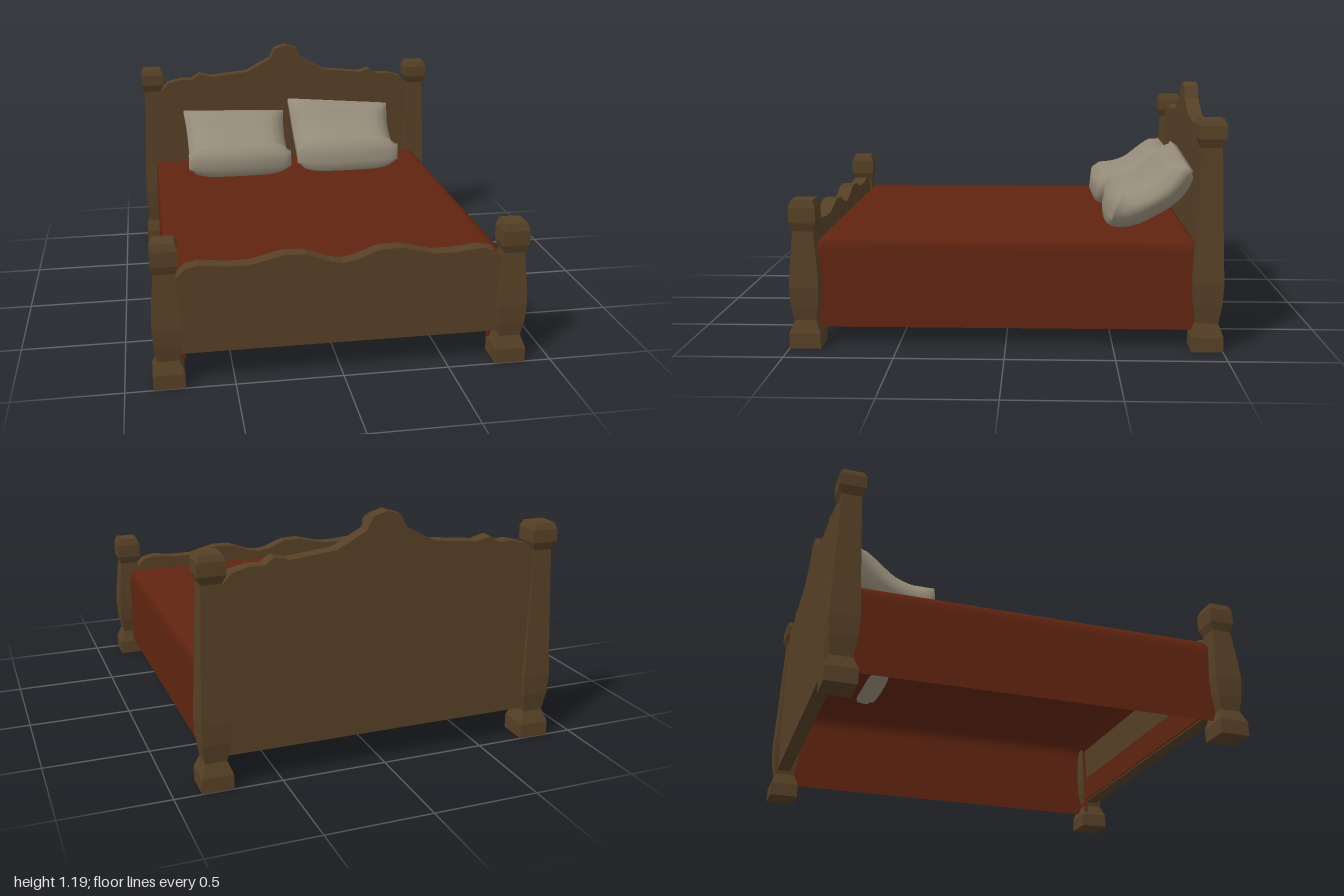
import * as THREE from 'three';
import { mergeVertices } from 'three/addons/utils/BufferGeometryUtils.js';

const wood = new THREE.MeshStandardMaterial({ color: 0x564026 });
wood.name = 'brown wood';
const cloth = new THREE.MeshStandardMaterial({ color: 0x602410, side: THREE.DoubleSide });
cloth.name = 'rust blanket';
const linen = new THREE.MeshStandardMaterial({ color: 0x958b79 });
linen.name = 'pillow linen';

function part(name, geometry, material) {
  const mesh = new THREE.Mesh(geometry, material);
  mesh.name = name;
  return mesh;
}

// Square turned post from [half width, height] pairs, with flat faces
function post(name, profile, x, z) {
  const pts = profile.map(([w, y]) => new THREE.Vector2(w * Math.SQRT2, y));
  const geo = new THREE.LatheGeometry(pts, 4, Math.PI / 4).toNonIndexed();
  geo.computeVertexNormals();
  const mesh = part(name, geo, wood);
  mesh.position.set(x, 0, z);
  return mesh;
}

// Board with a mirrored, carved top edge; half runs from the left end to the middle
function board(name, half, bottom, z, depth) {
  const right = half.filter(([x]) => x < 0).reverse().map(([x, y]) => [-x, y]);
  const top = [...half, ...right];
  const end = -half[0][0];
  const outline = [[end, bottom], [-end, bottom], ...top];
  const shape = new THREE.Shape(outline.map(([x, y]) => new THREE.Vector2(x, y)));
  const geo = new THREE.ExtrudeGeometry(shape, { depth, bevelEnabled: false });
  geo.translate(0, 0, z);
  return part(name, geo, wood);
}

// Open-bottomed blanket: a sheet bent over the sides and dipped at both ends
function blanket() {
  const across = [[-0.8, 0.085], [-0.8, 0.44], [-0.797, 0.48], [-0.785, 0.505], [-0.755, 0.515], [-0.7, 0.515]];
  const profile = [...across, ...across.map(([x, y]) => [-x, y]).reverse()];
  const rows = [[-0.89, 0.47], [-0.86, 0.51], [-0.84, 0.515], [0.83, 0.515], [0.855, 0.51], [0.885, 0.47]];
  const geo = new THREE.PlaneGeometry(1, 1, profile.length - 1, rows.length - 1);
  const pos = geo.attributes.position;
  for (let i = 0; i < pos.count; i++) {
    const [x, y] = profile[i % profile.length];
    const [z, limit] = rows[Math.floor(i / profile.length)];
    pos.setXYZ(i, x, Math.min(y, limit), z);
  }
  geo.computeVertexNormals();
  return part('blanket', geo, cloth);
}

// Plump pillow: a box bent along a curve leaning on the headboard
function pillow(name, cx, halfWidth, front, lift, tilt) {
  const spine = new THREE.CatmullRomCurve3([
    [front, 0.615], [-0.56, 0.605], [-0.68, 0.65], [-0.78, 0.725], [-0.86, 0.8 + lift],
  ].map(([z, y]) => new THREE.Vector3(0, y, z)));
  let geo = new THREE.BoxGeometry(2, 2, 2, 14, 2, 14);
  geo.deleteAttribute('normal');
  geo.deleteAttribute('uv');
  geo = mergeVertices(geo);
  const pos = geo.attributes.position;
  for (let i = 0; i < pos.count; i++) {
    const u = pos.getX(i), s = pos.getY(i), v = pos.getZ(i);
    const t = (1 - v) / 2;
    const p = spine.getPoint(t);
    const d = spine.getTangent(t);
    const puff = Math.sqrt((1 - u ** 4) * (1 - v ** 4));
    const h = s * (0.022 + 0.022 * Math.max(v, 0) + 0.072 * puff);
    const x = cx + u * halfWidth * (0.95 + 0.05 * v * v - 0.02 * Math.max(v, 0));
    const y = p.y - d.z * h + tilt * u * t * t;
    const z = p.z + d.y * h + 0.025 * (1 - u * u) * Math.max(v, 0) ** 2;
    pos.setXYZ(i, x, Math.max(y, 0.512), Math.max(z, -0.897));
  }
  geo.computeVertexNormals();
  return part(name, geo, linen);
}

export function createModel() {
  const bed = new THREE.Group();
  bed.name = 'bed';

  // Corner posts
  const foot = [[0, 0], [0.073, 0], [0.073, 0.07], [0.05, 0.13]];
  const frontPost = [...foot, [0.062, 0.2], [0.068, 0.29], [0.063, 0.38], [0.048, 0.55],
    [0.062, 0.59], [0.062, 0.66], [0.05, 0.695], [0, 0.695]];
  const backPost = [...foot, [0.064, 0.22], [0.069, 0.32], [0.062, 0.48], [0.046, 0.94],
    [0.063, 0.98], [0.063, 1.04], [0.05, 1.07], [0, 1.07]];
  for (const side of [-1, 1]) {
    const label = side > 0 ? 'left' : 'right';
    bed.add(post(label + 'FrontPost', frontPost, side * 0.8, 0.927));
    bed.add(post(label + 'BackPost', backPost, side * 0.8, -0.927));
  }

  // Carved boards
  bed.add(board('headboard', [[-0.78, 0.9], [-0.755, 0.93], [-0.71, 0.98], [-0.63, 1.0], [-0.565, 0.998],
    [-0.52, 1.03], [-0.45, 1.012], [-0.235, 1.035], [-0.095, 1.11], [-0.065, 1.17], [0, 1.19]], 0.15, -0.97, 0.07));
  bed.add(board('footboard', [[-0.78, 0.48], [-0.75, 0.52], [-0.71, 0.56], [-0.65, 0.575], [-0.52, 0.562],
    [-0.42, 0.562], [-0.27, 0.6], [-0.17, 0.597], [-0.06, 0.555], [0, 0.545]], 0.15, 0.885, 0.07));

  // Bedding, with a low tuck and two folded corners at the foot
  bed.add(blanket());
  const tuck = new THREE.BoxGeometry(1.58, 0.13, 0.008);
  tuck.translate(0, 0.22, 0.878);
  bed.add(part('footTuck', tuck, cloth));
  for (const side of [-1, 1]) {
    const fold = new THREE.BoxGeometry(0.08, 0.38, 0.008);
    fold.translate(side * 0.759, 0.275, 0.878);
    bed.add(part(side > 0 ? 'leftFold' : 'rightFold', fold, cloth));
  }
  bed.add(pillow('rightPillow', -0.325, 0.3, -0.465, 0, -0.01));
  bed.add(pillow('leftPillow', 0.31, 0.305, -0.505, 0.04, -0.025));
  return bed;
}
